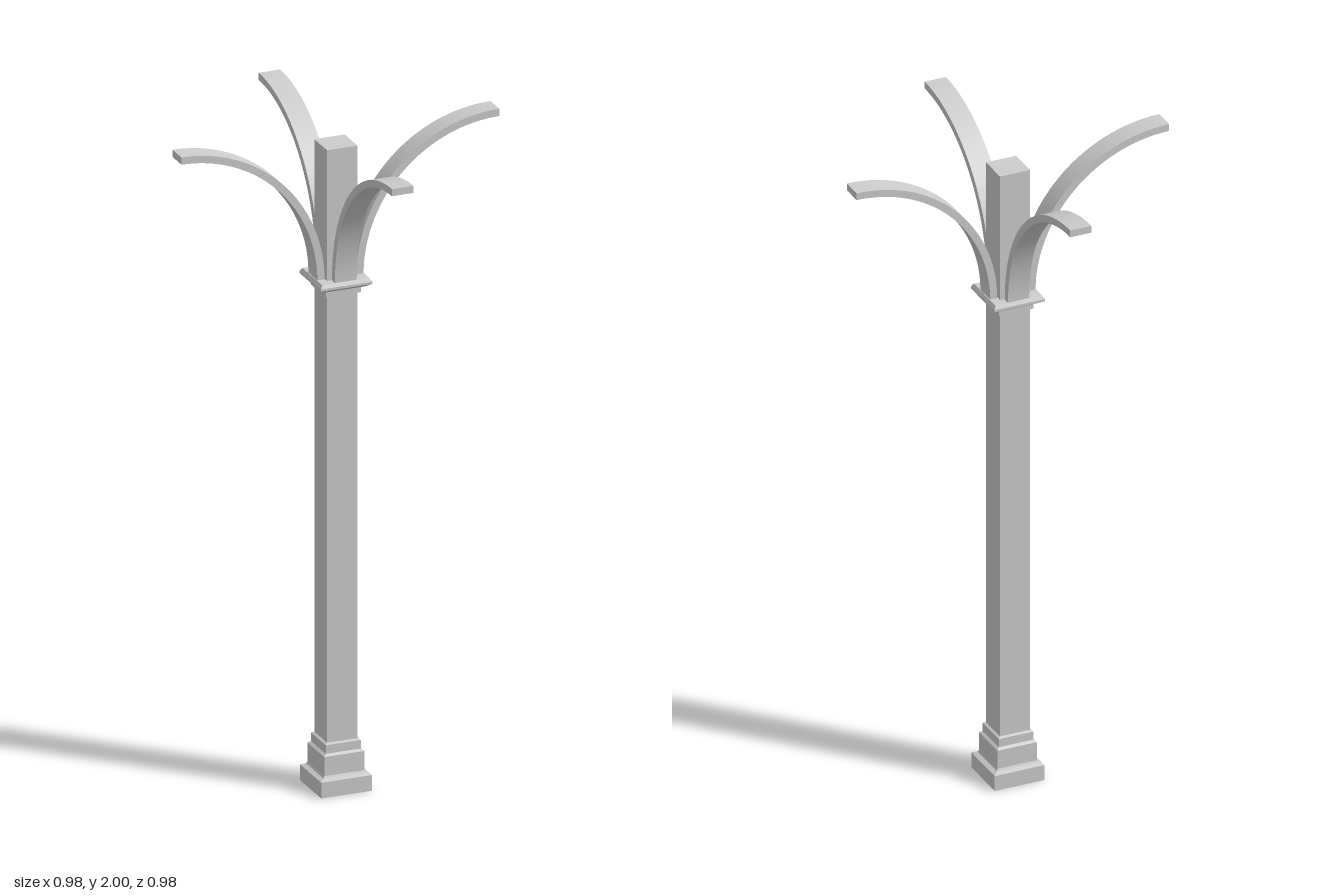
import * as THREE from 'three';
import { toCreasedNormals } from 'three/addons/utils/BufferGeometryUtils.js';

const material = new THREE.MeshStandardMaterial({ color: 0xcccccc });

// Square moulding from [half width, height] pairs, listed bottom to top
function squareProfile(name, pairs) {
  const points = pairs.map(([w, y]) => new THREE.Vector2(w * Math.SQRT2, y));
  const geometry = new THREE.LatheGeometry(points, 4, Math.PI / 4);
  const mesh = new THREE.Mesh(toCreasedNormals(geometry, 0.3), material);
  mesh.name = name;
  return mesh;
}

// Quarter-circle bracket that rises beside the shaft and sweeps outward
function archBracket() {
  const end = 0.489, spring = 1.56, outer = 0.44, inner = 0.418, width = 0.066;
  const shape = new THREE.Shape();
  shape.moveTo(end, spring + inner);
  shape.lineTo(end, spring + outer);
  shape.absarc(end, spring, outer, Math.PI / 2, Math.PI, false);
  shape.lineTo(end - inner, spring);
  shape.absarc(end, spring, inner, Math.PI, Math.PI / 2, true);
  const geometry = new THREE.ExtrudeGeometry(shape, {
    depth: width, bevelEnabled: false, curveSegments: 24,
  });
  geometry.translate(0, 0, -width / 2);
  return toCreasedNormals(geometry, 0.5);
}

export function createModel() {
  const model = new THREE.Group();
  model.name = 'column';

  // Stepped plinth
  model.add(squareProfile('base', [
    [0, 0], [0.078, 0], [0.078, 0.048], [0.065, 0.054], [0.062, 0.06],
    [0.062, 0.118], [0.054, 0.124], [0.054, 0.15], [0.047, 0.154],
  ]));

  // Shaft continues through the capital to a flat top
  const shaft = new THREE.Mesh(new THREE.BoxGeometry(0.094, 1.86, 0.094), material);
  shaft.name = 'shaft';
  shaft.position.y = 1.03;
  model.add(shaft);

  // Flared capital
  model.add(squareProfile('capital', [
    [0.047, 1.513], [0.054, 1.515], [0.054, 1.531], [0.062, 1.534],
    [0.079, 1.545], [0.079, 1.552], [0.073, 1.562], [0, 1.562],
  ]));

  // Four brackets, one per side
  const bracketGeometry = archBracket();
  for (let i = 0; i < 4; i++) {
    const bracket = new THREE.Mesh(bracketGeometry, material);
    bracket.name = 'archBracket' + (i + 1);
    bracket.rotation.y = i * Math.PI / 2;
    model.add(bracket);
  }

  return model;
}
